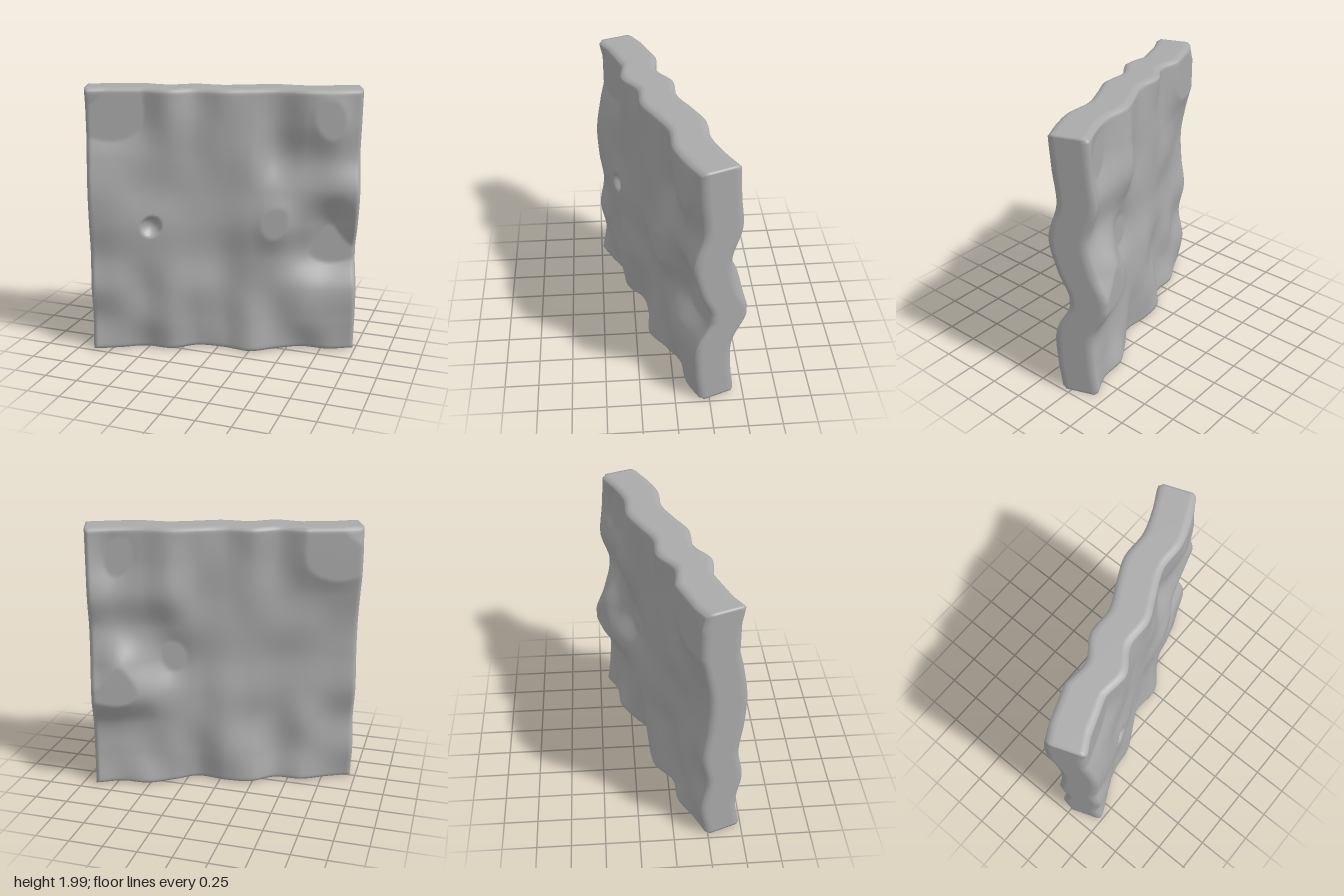
import * as THREE from 'three';
import { mergeVertices } from 'three/addons/utils/BufferGeometryUtils.js';

const WIDTH = 1.98, HEIGHT = 1.99, HALF = 0.14, BEVEL = 0.03, TURN = THREE.MathUtils.degToRad(20);

// Relief control heights in hundredths: rows run bottom to top, columns left to right
const RELIEF = [
  [3, 1, -2, 3, -3, 1, 9, 4, 0, 5, 3],
  [-1, 1, 2, 6, 0, -1, 6, 3, 6, 6, 6],
  [3, 4, 1, 6, 4, 0, 3, 4, 6, 5, 6],
  [-1, 2, 3, 4, 2, 0, 4, 4, -3, -7, -5],
  [2, 4, 4, 4, 3, 3, 7, 11, 3, -4, 4],
  [3, 3, 1, 1, 2, 3, 5, 6, 7, 8, 9],
  [-1, -1, 0, 2, 1, 4, 5, -2, 3, 6, 2],
  [-6, -8, -5, 3, 1, 4, 4, 0, 7, 11, 4],
  [-2, -5, -5, 3, -1, 5, 3, 2, 8, 8, 6],
];

// Smooth cubic B-spline blending, slightly sharpened, along one list of heights
function blend(list, t) {
  const n = list.length - 1;
  const i = Math.min(Math.floor(t * n), n - 1), f = t * n - i;
  const p = (k) => list[THREE.MathUtils.clamp(i + k, 0, n)];
  const a = p(-1), b = p(0), c = p(1), d = p(2);
  return b + 0.5 * f * (c - a + f * (2 * a - 5 * b + 4 * c - d + f * (3 * (b - c) + d - a)));
}

// Wavy relief with its peaks and hollows cut flat
function relief(u, v) {
  const s = THREE.MathUtils.clamp(u / WIDTH + 0.5, 0, 1);
  const t = THREE.MathUtils.clamp(v / HEIGHT + 0.5, 0, 1);
  const h = blend(RELIEF.map((row) => blend(row, s)), t) / 100;
  return THREE.MathUtils.clamp(h, -0.045, 0.09);
}

// How far the rounded rim falls away near an edge
function rimDrop(p, half) {
  const t = THREE.MathUtils.clamp((Math.abs(p) - half + BEVEL) / BEVEL, 0, 1);
  return BEVEL * (1 - Math.sqrt(1 - t * t));
}

// Small round pit on the front face
function pit(u, v) {
  const d = Math.hypot(u + 0.53, v + 0.01) / 0.075;
  return d < 1 ? 0.055 * (1 - d * d) ** 0.8 : 0;
}

export function createModel() {
  const group = new THREE.Group();
  group.name = 'wavySlab';

  const stone = new THREE.MeshStandardMaterial({ color: 0xaaaaaa });
  stone.name = 'stone grey';

  // Slab: a fine box with rounded rims, bent by the relief on both faces
  const box = new THREE.BoxGeometry(WIDTH, HEIGHT, HALF * 2, 130, 130, 8);
  box.deleteAttribute('normal');
  box.deleteAttribute('uv');
  const geometry = mergeVertices(box);
  const pos = geometry.attributes.position;
  for (let i = 0; i < pos.count; i++) {
    const u = pos.getX(i), v = pos.getY(i), w = pos.getZ(i);
    const drop = Math.max(rimDrop(u, WIDTH / 2), rimDrop(v, HEIGHT / 2));
    const dent = w > HALF - 0.001 ? pit(u, v) : 0;
    pos.setZ(i, w * (1 - drop / HALF) + relief(u, v) - dent);
  }
  geometry.computeVertexNormals();

  const slab = new THREE.Mesh(geometry, stone);
  slab.name = 'slab';
  slab.position.y = HEIGHT / 2;
  slab.rotation.y = TURN;
  group.add(slab);
  return group;
}
